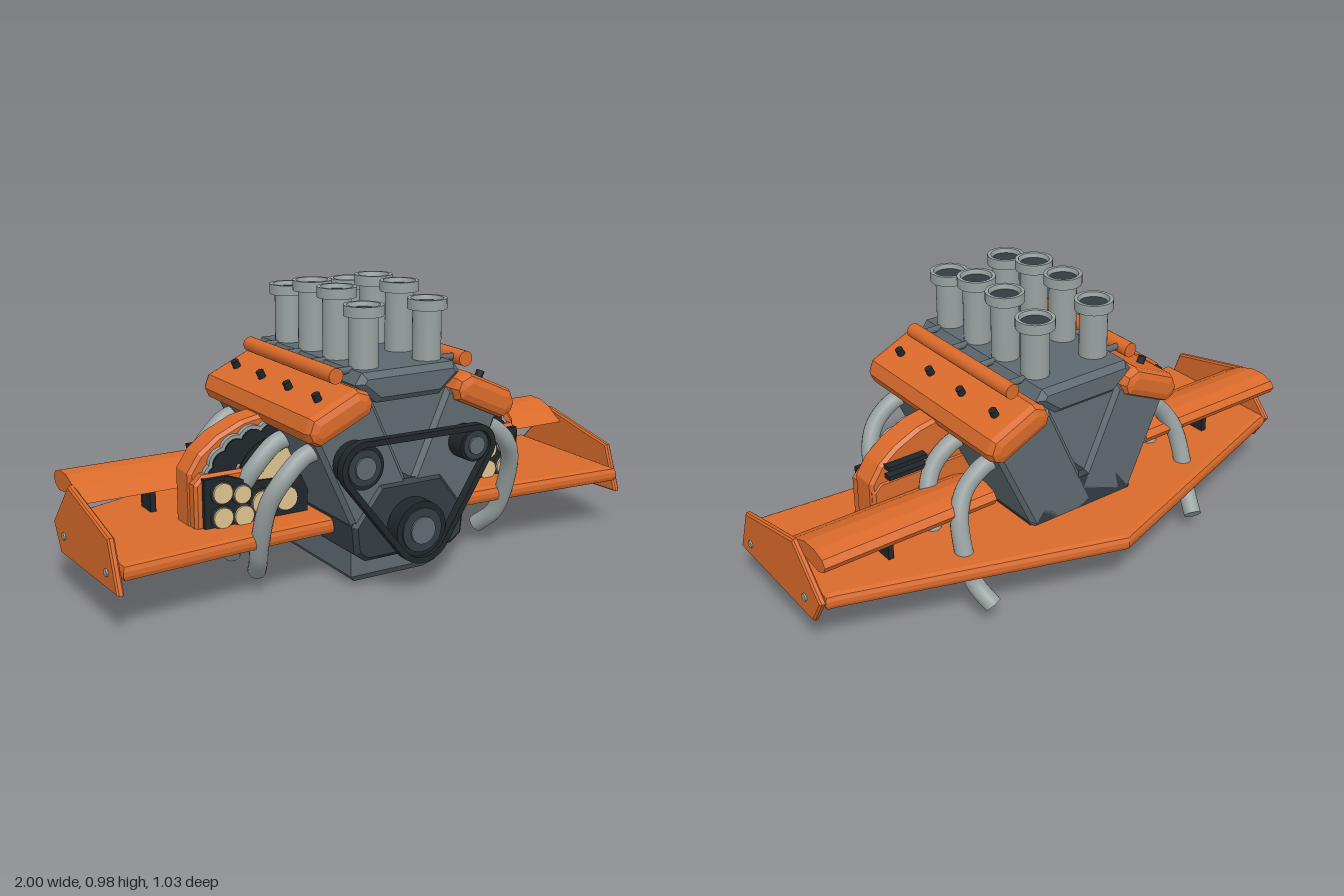
import * as THREE from 'three';

const mat = (name, color, side = THREE.FrontSide) => {
  const m = new THREE.MeshStandardMaterial({ color, side });
  m.name = name;
  return m;
};

export function createModel() {
  const orange = mat('orange paint', 0xd96a2b);
  const steel = mat('engine grey', 0x5d696f);
  const dark = mat('dark grey', 0x343c42);
  const black = mat('black', 0x20262a);
  const silver = mat('silver', 0x98a1a1, THREE.DoubleSide);
  const cream = mat('lamp cream', 0xdcc28e);

  const root = new THREE.Group();
  root.name = 'engineWithWing';

  const add = (name, geo, material, x = 0, y = 0, z = 0, parent = root) => {
    const m = new THREE.Mesh(geo, material);
    m.name = name;
    m.position.set(x, y, z);
    parent.add(m);
    return m;
  };
  const toShape = pts => new THREE.Shape(pts.map(p => new THREE.Vector2(p[0], p[1])));
  // Prism from a profile, bevelled inside its own outline, running from a to b
  const prism = (shape, a, b, bevel = 0, segs = 1) => {
    const g = new THREE.ExtrudeGeometry(shape, {
      depth: b - a - 2 * bevel, bevelEnabled: bevel > 0, bevelThickness: bevel,
      bevelSize: bevel, bevelOffset: -bevel, bevelSegments: segs, curveSegments: 20,
    });
    return g.translate(0, 0, a + bevel);
  };
  // Profile in x,z extruded upwards
  const slab = (pts, y0, y1, bevel, segs) =>
    prism(toShape(pts.map(([x, z]) => [x, -z])), y0, y1, bevel, segs).rotateX(-Math.PI / 2);
  // Profile in z,y extruded along x
  const sidePrism = (pts, x0, x1, bevel) =>
    prism(toShape(pts), -x1, -x0, bevel).rotateY(-Math.PI / 2);
  const discZ = (r, z0, z1, n = 28) =>
    new THREE.CylinderGeometry(r, r, z1 - z0, n).rotateX(Math.PI / 2).translate(0, 0, (z0 + z1) / 2);
  const both = pts => [...pts, ...pts.map(([x, y]) => [-x, y]).reverse()];

  // Engine core
  add('oilPan', slab(both([[0.17, 0.34], [0.17, -0.19]]), 0, 0.16, 0.03), steel);
  add('crankcase', prism(toShape(both([[0.17, 0.115], [0.21, 0.145], [0.22, 0.24], [0.12, 0.37]])), -0.27, 0.44, 0.015), dark);
  add('intakeManifold', prism(toShape(both([[0.12, 0.635], [0.2, 0.7], [0.175, 0.738]])), -0.28, 0.43, 0.02), steel);

  // Cylinder banks with rocker covers, mirrored
  const tilt = 0.43;
  const coverShape = toShape([[-0.125, -0.02], [-0.1, -0.05], [0.1, -0.05], [0.125, -0.02], [0.125, 0.015], [0.09, 0.05], [-0.09, 0.05], [-0.125, 0.015]]);
  for (const s of [1, -1]) {
    const bank = new THREE.Group();
    bank.name = s > 0 ? 'leftBank' : 'rightBank';
    bank.position.set(s * 0.28, 0.617, 0);
    bank.rotation.z = -s * tilt;
    root.add(bank);
    const head = toShape([[-0.14, -0.47], [0.1, -0.47], [0.1, -0.02], [-0.14, -0.02]].map(([x, y]) => [s * x, y]));
    add('cylinderBank', prism(head, -0.27, 0.43, 0.015), steel, 0, 0, 0, bank);
    add('rockerCover', prism(coverShape, -0.295, 0.47, 0.03, 2), orange, 0, 0, 0, bank);
    for (const z of [0.37, 0.182, -0.003, -0.19])
      add('coverBolt', new THREE.CylinderGeometry(0.014, 0.014, 0.03, 12), black, s * 0.01, 0.06, z, bank);
  }

  // Intake trumpets and fuel rails
  const trumpet = h => new THREE.LatheGeometry(
    [[0.048, 0.72], [0.048, h - 0.035], [0.066, h - 0.035], [0.066, h], [0.054, h], [0.046, h - 0.03], [0.046, h - 0.08]]
      .flatMap(([r, y]) => [new THREE.Vector2(r, y), new THREE.Vector2(r, y)]), 28);
  const trumpetZ = [0.335, 0.17, 0.008, -0.157];
  for (const s of [1, -1]) {
    trumpetZ.forEach((z, i) => {
      const h = i === 0 || i === 3 ? 0.94 : 0.975;
      add('intakeTrumpet', trumpet(h), silver, s * 0.122, 0, z);
      add('trumpetThroat', new THREE.CylinderGeometry(0.049, 0.046, 0.02, 28), dark, s * 0.122, h - 0.025, z);
      add('injector', new THREE.CylinderGeometry(0.012, 0.012, 0.11, 10).rotateZ(Math.PI / 2), steel, s * 0.2, 0.733, z);
    });
    add('fuelRail', discZ(0.026, -0.205, 0.38, 20), orange, s * 0.25, 0.73, 0);
  }

  // Exhaust pipes
  for (const s of [1, -1]) for (const z of [0.37, 0.185, 0, -0.187]) {
    const path = new THREE.CatmullRomCurve3([
      [0.28, 0.5, 0], [0.36, 0.485, 0], [0.435, 0.42, 0], [0.475, 0.34, -0.025],
      [0.483, 0.18, -0.08], [0.472, 0.12, -0.11], [0.447, 0.065, -0.17],
    ].map(([x, y, dz]) => new THREE.Vector3(s * x, y, z + dz)));
    add('exhaustPipe', new THREE.TubeGeometry(path, 36, 0.031, 16), silver);
    const end = path.getPoint(1);
    const cap = add('exhaustTip', new THREE.CircleGeometry(0.031, 16), silver, end.x, end.y, end.z);
    cap.lookAt(end.clone().add(path.getTangent(1)));
  }

  // Pulleys and the belt that wraps them
  const pulleys = [[0, 0.215, 0.11], [-0.22, 0.458, 0.088], [0.207, 0.47, 0.072]];
  const wrap = shrink => {
    const pts = [];
    for (let i = 0; i < 90; i++) {
      const a = (i / 90) * Math.PI * 2, c = Math.cos(a), d = Math.sin(a);
      const best = pulleys.reduce((p, q) => (q[0] * c + q[1] * d + q[2] > p[0] * c + p[1] * d + p[2] ? q : p));
      pts.push(new THREE.Vector2(best[0] + (best[2] - shrink) * c, best[1] + (best[2] - shrink) * d));
    }
    return pts;
  };
  const beltShape = new THREE.Shape(wrap(0));
  beltShape.holes.push(new THREE.Path(wrap(0.02)));
  add('driveBelt', prism(beltShape, 0.483, 0.515), black);
  for (const [x, y, r] of pulleys) {
    add('pulley', discZ(r - 0.015, 0.43, 0.5), black, x, y);
    add('pulleyFace', discZ(r * 0.68, 0.49, 0.506), dark, x, y);
    add('pulleyHub', discZ(r * 0.42, 0.5, 0.513), steel, x, y);
  }

  // Lower wing plate
  add('lowerWing', slab(both([[0, 0.3], [0.45, 0.315], [0.97, 0.355], [0.97, -0.195], [0.93, -0.205], [0, -0.515]])
    .filter((p, i) => i !== 11 && i !== 6), 0.178, 0.234, 0.02, 2), orange);

  // Flaps, struts, end plates and lamp pods, mirrored
  const flap = [[0.035, 0.335], [-0.03, 0.372], [-0.1, 0.397], [-0.16, 0.398], [-0.205, 0.384], [-0.222, 0.362],
    [-0.21, 0.34], [-0.175, 0.325], [-0.12, 0.334], [-0.04, 0.34]];
  const fin = [[0.355, 0.14], [0.293, 0.305], [-0.045, 0.378], [-0.2, 0.217], [-0.14, 0.12]];
  const arch = [[0.22, 0.23], [0.655, 0.23], [0.655, 0.41], [0.615, 0.47], [0.55, 0.52], [0.46, 0.56], [0.38, 0.575], [0.22, 0.575]];
  const lamps = [[0.565, 0.35, 0.034], [0.565, 0.267, 0.034], [0.495, 0.335, 0.03], [0.49, 0.262, 0.034],
    [0.42, 0.295, 0.04], [0.335, 0.295, 0.04]];
  for (const s of [1, -1]) {
    const span = (a, b) => (s > 0 ? [a, b] : [-b, -a]);
    const flip = pts => toShape(pts.map(([x, y]) => [s * x, y]));
    const wing = new THREE.Group();
    wing.name = s > 0 ? 'leftWingParts' : 'rightWingParts';
    root.add(wing);
    add('upperFlap', sidePrism(flap, ...span(0.33, 0.975), 0), orange, 0, 0, 0, wing);
    add('endPlate', sidePrism(fin, ...span(0.968, 0.992), 0.006), orange, 0, 0, 0, wing);
    for (const z of [0.273, -0.098])
      add('endPlateBolt', new THREE.CylinderGeometry(0.013, 0.013, 0.03, 14).rotateZ(Math.PI / 2), silver, s * 0.983, 0.192, z, wing);
    add('flapStrut', new THREE.BoxGeometry(0.02, 0.13, 0.08), black, s * 0.695, 0.285, -0.1, wing);
    add('underStrip', new THREE.BoxGeometry(0.5, 0.02, 0.1), black, s * 0.45, 0.177, 0.06, wing);

    // Lamp pod
    const pod = new THREE.Group();
    pod.name = s > 0 ? 'leftLampPod' : 'rightLampPod';
    root.add(pod);
    add('podShell', prism(flip(arch), 0.035, 0.14, 0.012), orange, 0, 0, 0, pod);
    add('podBase', prism(flip([[0.24, 0.225], [0.65, 0.225], [0.65, 0.38], [0.62, 0.41], [0.24, 0.41]]), 0.03, 0.175, 0.01), orange, 0, 0, 0, pod);
    // Scalloped lamp bezel: silver rim behind, black lobes in front
    for (const a of [0.15, 0.5, 0.85, 1.2, 1.55]) {
      const x = s * (0.36 + 0.2 * Math.cos(a)), y = 0.37 + 0.13 * Math.sin(a);
      add('bezelRim', discZ(0.055, 0.13, 0.158, 20), silver, x, y, 0, pod);
      add('bezelLobe', discZ(0.043, 0.13, 0.164, 20), black, x, y, 0, pod);
    }
    add('bezelCentre', discZ(0.13, 0.13, 0.166), black, s * 0.36, 0.37, 0, pod);
    add('mainLamp', discZ(0.1, 0.15, 0.185), cream, s * 0.35, 0.375, 0, pod);
    add('lampPanel', prism(flip([[0.25, 0.235], [0.625, 0.235], [0.625, 0.4], [0.54, 0.4], [0.46, 0.37], [0.25, 0.36]]), 0.165, 0.192), black, 0, 0, 0, pod);
    for (const [x, y, r] of lamps) {
      add('lampRing', discZ(r + 0.006, 0.18, 0.2, 20), dark, s * x, y, 0, pod);
      add('lampLens', discZ(r, 0.18, 0.208, 20), cream, s * x, y, 0, pod);
    }
    // Cooling slats on the back of the pod
    for (const y of [0.43, 0.465])
      add('podSlat', new THREE.BoxGeometry(0.15, 0.016, 0.035), black, s * 0.525, y, 0.022, pod);
  }
  return root;
}
